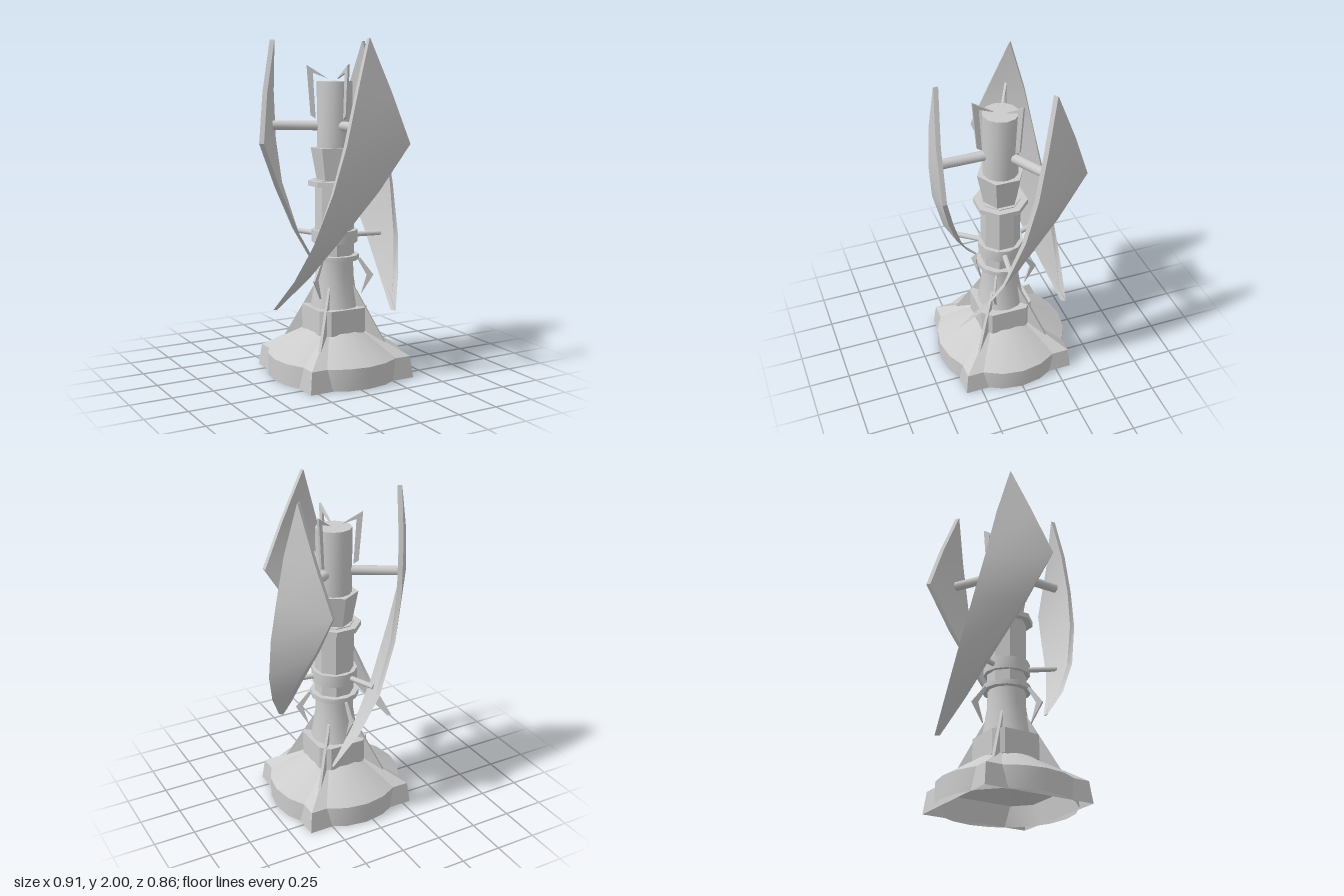
import * as THREE from 'three';
import { toCreasedNormals } from 'three/addons/utils/BufferGeometryUtils.js';

const mat = new THREE.MeshStandardMaterial({ color: 0xcccccc, side: THREE.DoubleSide });
const rad = THREE.MathUtils.degToRad;

export function createModel() {
  const model = new THREE.Group();
  model.name = 'windTurbine';
  const axis = new THREE.Group();
  axis.name = 'turbineAxis';
  axis.position.x = 0.047;
  model.add(axis);

  function add(name, geo, crease = 0.6) {
    const mesh = new THREE.Mesh(toCreasedNormals(geo, crease), mat);
    mesh.name = name;
    axis.add(mesh);
    return mesh;
  }
  // Upright cylinder between two heights
  function drum(name, rTop, rBottom, y0, y1, sides = 12, open = false, turn = 0) {
    const g = new THREE.CylinderGeometry(rTop, rBottom, y1 - y0, sides, 1, open);
    g.rotateY(turn);
    g.translate(0, (y0 + y1) / 2, 0);
    return add(name, g);
  }
  // Thin plate drawn as (radius, height), standing at an angle measured from +z
  function plate(name, pts, thickness, angle) {
    const shape = new THREE.Shape(pts.map(p => new THREE.Vector2(...p)));
    const g = new THREE.ExtrudeGeometry(shape, { depth: thickness, bevelEnabled: false });
    g.translate(0, 0, -thickness / 2);
    add(name, g, 0.3).rotation.y = rad(angle - 90);
  }
  // Horizontal rod pointing outwards
  function arm(name, radius, r0, r1, y, angle) {
    const g = new THREE.CylinderGeometry(radius, radius, r1 - r0, 10);
    g.rotateX(Math.PI / 2);
    g.translate(0, y, (r0 + r1) / 2);
    add(name, g, 0.8).rotation.y = rad(angle);
  }

  // Hollow base: round skirt and cone crossed with a square skirt and pyramid
  drum('roundSkirt', 0.406, 0.406, 0, 0.13, 20, true);
  drum('roundCone', 0.17, 0.406, 0.13, 0.275, 20, true);
  const q = Math.SQRT2;
  drum('squareSkirt', 0.332 * q, 0.347 * q, 0, 0.13, 4, true, Math.PI / 4);
  drum('squareCone', 0.13 * q, 0.332 * q, 0.13, 0.275, 4, true, Math.PI / 4);

  // Chamfered square collar
  const a = 0.11, b = 0.163;
  const collarShape = new THREE.Shape(
    [[a, b], [-a, b], [-b, a], [-b, -a], [-a, -b], [a, -b], [b, -a], [b, a]].map(p => new THREE.Vector2(...p)));
  const collar = new THREE.ExtrudeGeometry(collarShape, { depth: 0.15, bevelEnabled: false });
  collar.rotateX(-Math.PI / 2);
  collar.translate(0, 0.265, 0);
  add('collar', collar, 0.3);

  // Flared foot and column with rings
  const flare = [[0.145, 0.41], [0.13, 0.5], [0.115, 0.6], [0.112, 0.72]].map(p => new THREE.Vector2(...p));
  add('flaredFoot', new THREE.LatheGeometry(flare, 12));
  drum('column', 0.118, 0.118, 0.7, 1.18, 8, false, Math.PI / 8);
  drum('lowerRing', 0.147, 0.147, 0.7, 0.73, 12);
  drum('armRing', 0.138, 0.138, 0.805, 0.88, 12);
  drum('upperRing', 0.16, 0.16, 1.145, 1.175, 8, false, Math.PI / 8);
  drum('taperedNut', 0.142, 0.105, 1.175, 1.37, 6);
  drum('mast', 0.105, 0.105, 1.3, 1.76, 12);

  // Buttress fins on the diagonals
  for (let i = 0; i < 4; i++)
    plate('buttressFin', [[0.325, 0.19], [0.11, 0.56], [0.09, 0.45], [0.14, 0.3]], 0.016, 45 + i * 90);

  // Blade: rows of [height, left x, left z, right x, right z], joined as a thin closed kite
  const rows = [
    [2.0, 0.008, 0.365, 0.012, 0.365],
    [1.7, -0.075, 0.378, 0.135, 0.4],
    [1.41, -0.14, 0.372, 0.253, 0.412],
    [1.14, -0.205, 0.34, 0.1, 0.335],
    [0.84, -0.28, 0.26, -0.1, 0.23],
    [0.62, -0.34, 0.15, -0.25, 0.125],
    [0.43, -0.4, 0.005, -0.398, 0],
  ];
  function bladeGeometry() {
    const pos = [], index = [], half = 0.014;
    for (const [y, lx, lz, rx, rz] of rows) {
      const n = new THREE.Vector2(lx + rx, lz + rz).normalize().multiplyScalar(half);
      // outer left, outer right, inner right, inner left
      pos.push(lx + n.x, y, lz + n.y, rx + n.x, y, rz + n.y, rx - n.x, y, rz - n.y, lx - n.x, y, lz - n.y);
    }
    for (let i = 0; i < rows.length - 1; i++)
      for (let k = 0; k < 4; k++) {
        const p = i * 4 + k, s = i * 4 + (k + 1) % 4;
        index.push(p, p + 4, s, s, p + 4, s + 4);
      }
    const e = (rows.length - 1) * 4;
    index.push(0, 1, 2, 0, 2, 3, e, e + 2, e + 1, e, e + 3, e + 2);
    const g = new THREE.BufferGeometry();
    g.setAttribute('position', new THREE.Float32BufferAttribute(pos, 3));
    g.setIndex(index);
    return g;
  }

  // Everything repeated three times around the mast
  for (let i = 0; i < 3; i++) {
    const t = i * 120;
    add('blade', bladeGeometry(), 0.5).rotation.y = rad(t);
    arm('upperArm', 0.029, 0.08, 0.365, 1.5, t);
    arm('lowerArm', 0.016, 0.1, 0.3, 0.84, t + 82);
    plate('topHook', [[0.165, 1.855], [0.04, 1.775], [0.128, 1.808], [0.112, 1.54], [0.142, 1.56]], 0.013, t);
    plate('sideBracket', [[0.135, 0.705], [0.155, 0.705], [0.235, 0.6], [0.16, 0.48], [0.195, 0.6]], 0.013, t + 60);
  }
  return model;
}
